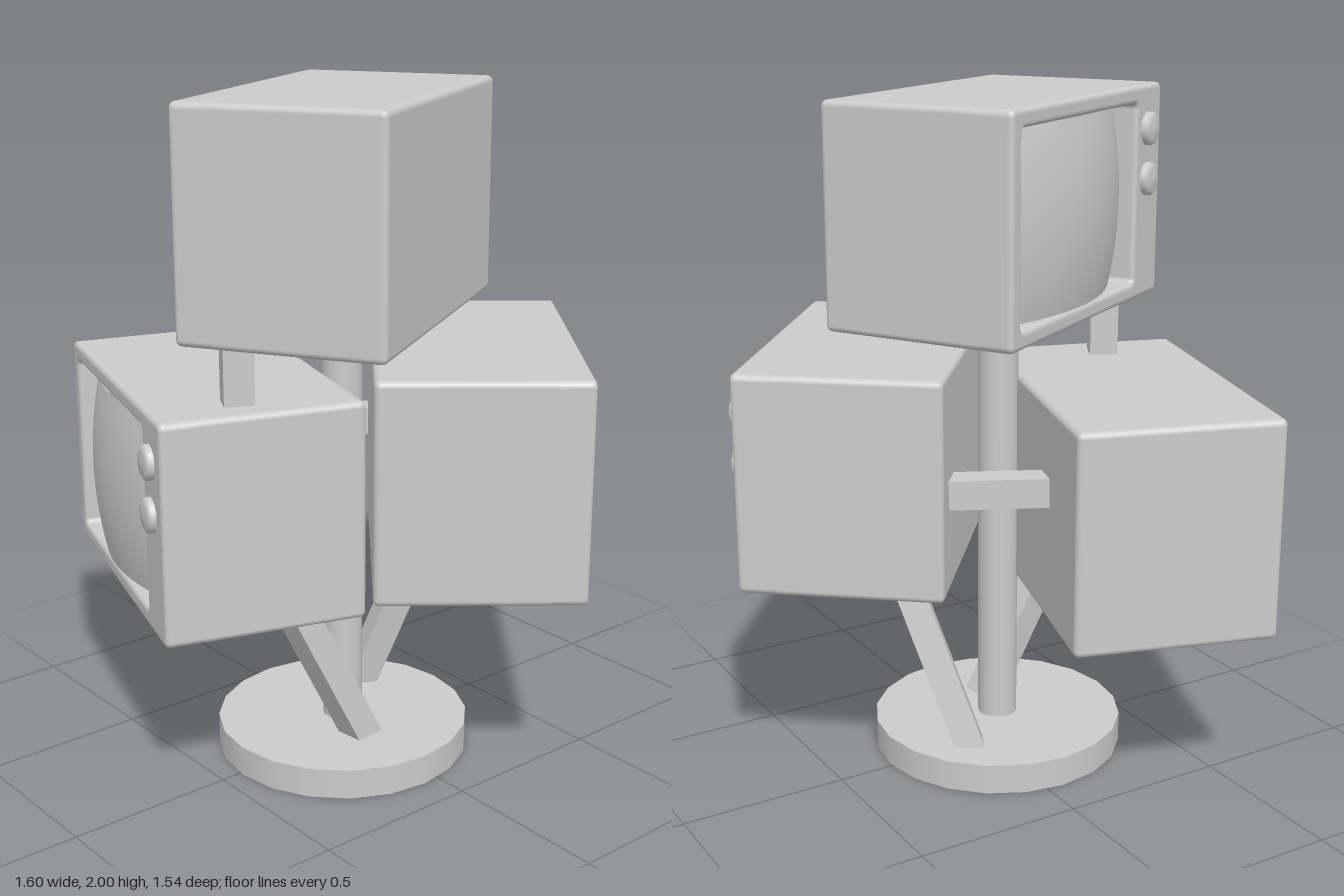
import * as THREE from 'three';
import { RoundedBoxGeometry } from 'three/addons/geometries/RoundedBoxGeometry.js';

const W = 0.975, H = 0.64, D = 0.59;   // television cabinet
const BEVEL = 0.015;
const material = new THREE.MeshStandardMaterial({ color: 0xcccccc });

function add(parent, geometry, name, x = 0, y = 0, z = 0) {
  const mesh = new THREE.Mesh(geometry, material);
  mesh.name = name;
  mesh.position.set(x, y, z);
  parent.add(mesh);
  return mesh;
}

// Rounded rectangle centred on (cx, 0)
function roundedRect(path, cx, w, h, r) {
  const x = w / 2 - r, y = h / 2 - r;
  path.absarc(cx + x, y, r, 0, Math.PI / 2);
  path.absarc(cx - x, y, r, Math.PI / 2, Math.PI);
  path.absarc(cx - x, -y, r, Math.PI, Math.PI * 1.5);
  path.absarc(cx + x, -y, r, Math.PI * 1.5, Math.PI * 2);
  path.closePath();
  return path;
}

function television(name, x, y, z, turn) {
  const tv = new THREE.Group();
  tv.name = name;
  tv.position.set(x, y, z);
  tv.rotation.y = turn;

  // Cabinet, reaching forward to the floor of the screen recess
  const back = -D / 2, recess = 0.2;
  add(tv, new RoundedBoxGeometry(W, H, recess - back, 3, 0.018), 'cabinet', 0, 0, (back + recess) / 2);

  // Front surround with the screen opening
  const opening = { x: -0.06, w: 0.74, h: 0.535 };
  const outline = roundedRect(new THREE.Shape(), 0, W - 2 * BEVEL, H - 2 * BEVEL, 0.005);
  outline.holes.push(roundedRect(new THREE.Path(), opening.x, opening.w + 2 * BEVEL, opening.h + 2 * BEVEL, 0.03));
  const surround = new THREE.ExtrudeGeometry(outline, {
    depth: 0.25, bevelEnabled: true, bevelSize: BEVEL, bevelThickness: BEVEL, bevelSegments: 4, curveSegments: 5,
  });
  add(tv, surround, 'surround', 0, 0, D / 2 - 0.25 - BEVEL);

  // Bulging screen
  const screen = new THREE.PlaneGeometry(opening.w, opening.h, 28, 20);
  const p = screen.attributes.position;
  for (let i = 0; i < p.count; i++) {
    const u = p.getX(i) / (opening.w / 2), v = p.getY(i) / (opening.h / 2);
    p.setZ(i, 0.03 - 0.085 * u * u - 0.03 * v * v);
  }
  screen.computeVertexNormals();
  add(tv, screen, 'screen', opening.x, 0, D / 2);

  // Two control knobs with softened rims
  const profile = [[0.05, -0.01], [0.05, 0.012], [0.046, 0.019], [0.036, 0.024], [0, 0.028]]
    .map(([r, h]) => new THREE.Vector2(r, h));
  for (const ky of [0.19, 0.04]) {
    add(tv, new THREE.LatheGeometry(profile, 28), 'knob', 0.387, ky, D / 2).rotation.x = Math.PI / 2;
  }
  return tv;
}

// Square bar between two points, rolled about its own length
function bar(parent, name, from, to, roll = 0) {
  const a = new THREE.Vector3(...from), b = new THREE.Vector3(...to);
  const mesh = add(parent, new THREE.BoxGeometry(0.085, 0.085, a.distanceTo(b)), name);
  mesh.position.copy(a).lerp(b, 0.5);
  mesh.lookAt(b);
  mesh.rotateZ(roll);
}

export function createModel() {
  const model = new THREE.Group();
  model.name = 'televisionStack';

  // Round foot and central pole
  const cx = 0.015, cz = 0.055;
  add(model, new THREE.CylinderGeometry(0.382, 0.382, 0.09, 20), 'base', cx, 0.045, cz);
  add(model, new THREE.CylinderGeometry(0.06, 0.06, 1.35, 20), 'pole', cx, 0.725, cz);

  // Three televisions turned different ways
  model.add(television('frontTelevision', -0.25, 0.86, 0.335, -0.303));
  model.add(television('backTelevision', 0.245, 0.96, -0.245, 2.46));
  model.add(television('topTelevision', 0.065, 1.68, 0.09, -1.036));

  // Supports under and between the televisions
  bar(model, 'frontStrut', [0.158, 0.05, 0.08], [0.112, 0.64, 0.368], 0.25);
  bar(model, 'backStrut', [-0.142, 0.05, -0.125], [0.065, 0.74, -0.3], 0.4);
  bar(model, 'crossBar', [-0.17, 0.93, -0.33], [-0.39, 0.93, 0.12]);
  const post = add(model, new THREE.BoxGeometry(0.085, 0.4, 0.085), 'upperPost', 0.083, 1.27, 0.477);
  post.rotation.y = -0.49;

  return model;
}
